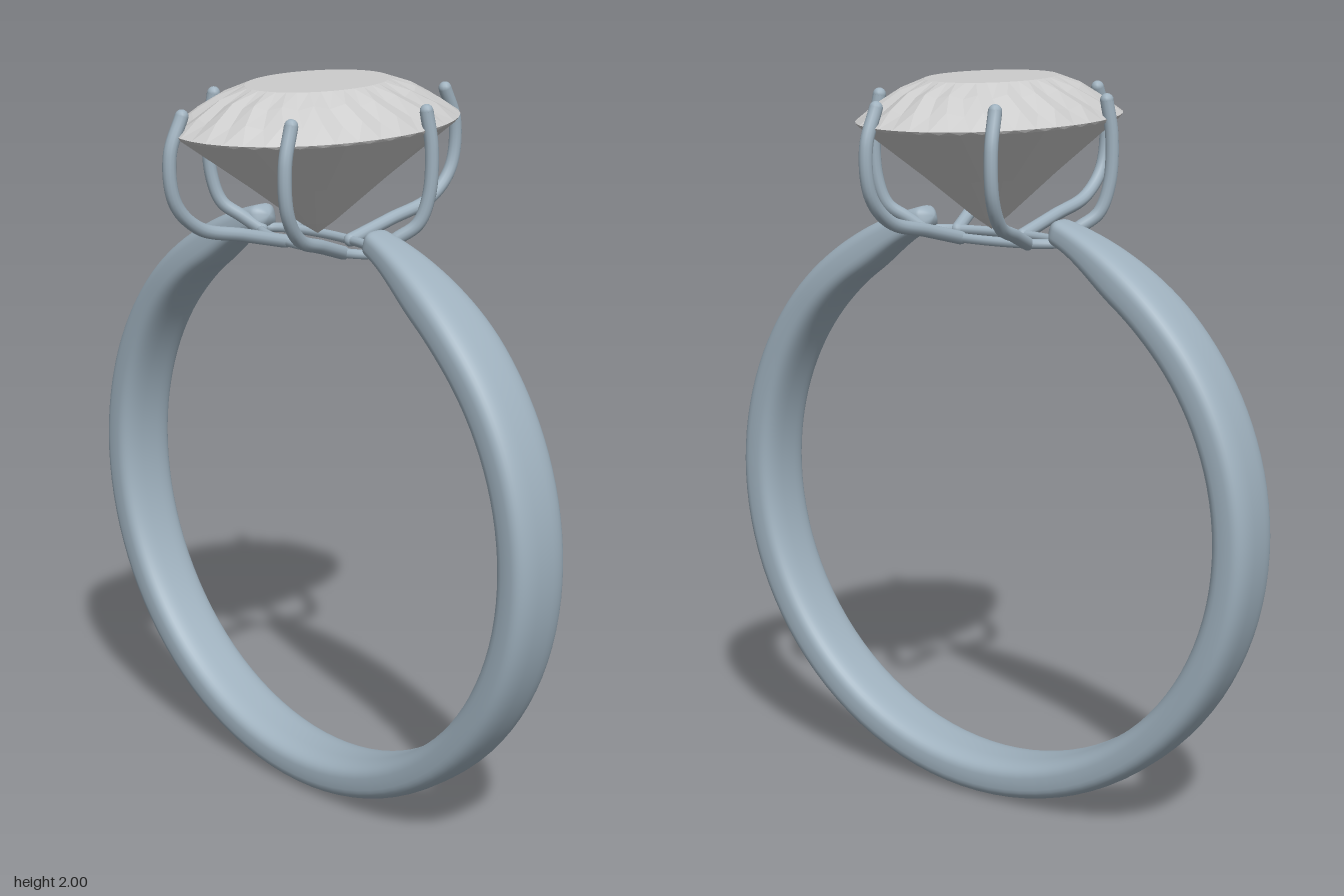
import * as THREE from 'three';

const metal = new THREE.MeshStandardMaterial({ color: 0x9fb1be, side: THREE.DoubleSide });
const gem = new THREE.MeshStandardMaterial({ color: 0xcccccc, flatShading: true });

// Skins a grid of closed rings; flip reverses the corner order.
function skin(rings, flip) {
  const n = rings[0].length, index = [];
  for (let i = 0; i < rings.length - 1; i++) {
    for (let j = 0; j < n; j++) {
      const k = (j + 1) % n;
      const a = i * n + j, b = i * n + k, c = a + n, d = b + n;
      if (flip) index.push(a, c, b, b, c, d);
      else index.push(a, b, c, b, d, c);
    }
  }
  const geo = new THREE.BufferGeometry();
  geo.setAttribute('position', new THREE.Float32BufferAttribute(rings.flat(2), 3));
  geo.setIndex(index);
  geo.computeVertexNormals();
  return geo;
}

// Open band: rounded section, thinner and narrower towards both tips.
function bandGeometry() {
  const R = 0.835, start = 0.24, N = 140, M = 40, rings = [];
  const soft = (v) => Math.sign(v) * Math.pow(Math.abs(v), 0.65);
  for (let i = 0; i <= N; i++) {
    const a = Math.PI - Math.cos(Math.PI * i / N) * (Math.PI - start);
    const s = Math.min(a, 2 * Math.PI - a) - start;
    const cap = Math.sqrt(Math.min(1, Math.max(0, s) / 0.03));
    const wide = Math.sin(Math.PI / 2 * Math.min(1, s / 0.6));
    const w = (0.038 + 0.055 * wide) * cap;
    const inner = 0.725 + 0.042 * (1 - THREE.MathUtils.smoothstep(s, 0, 0.36));
    const mid = (R + inner) / 2, h = (R - inner) / 2 * cap;
    const ring = [];
    for (let j = 0; j < M; j++) {
      const v = j / M * 2 * Math.PI;
      const r = mid + h * soft(Math.cos(v));
      ring.push([r * Math.sin(a), R + r * Math.cos(a), w * soft(Math.sin(v))]);
    }
    rings.push(ring);
  }
  return skin(rings, false);
}

// Oval faceted stone: [scale, height, ripple] rows, each turned half a facet.
function stoneGeometry() {
  const M = 40;
  const rows = [
    [0, 1.595, 0], [0.13, 1.63, 0], [0.5, 1.745, 0], [0.985, 1.888, 0], [1, 1.896, 0],
    [0.85, 1.933, 0.005], [0.68, 1.97, 0.005], [0.5, 2, 0], [0, 2, 0],
  ];
  const rings = rows.map(([s, y, ripple], i) => Array.from({ length: M }, (_, j) => {
    const t = (j + i / 2) / M * 2 * Math.PI;
    return [0.307 * s * Math.cos(t), y + (j % 2 ? ripple : -ripple), 0.435 * s * Math.sin(t)];
  }));
  const geo = skin(rings, true).toNonIndexed();
  geo.computeVertexNormals();
  return geo;
}

export function createModel() {
  const model = new THREE.Group();
  model.name = 'ring';
  const add = (name, geo, mat, parent = model) => {
    const mesh = new THREE.Mesh(geo, mat);
    mesh.name = name;
    parent.add(mesh);
    return mesh;
  };

  add('band', bandGeometry(), metal);
  add('stone', stoneGeometry(), gem);

  // Thin oval rail joining the band tips and the prongs
  const baseY = 1.575;
  const oval = Array.from({ length: 24 }, (_, i) => {
    const t = i / 24 * 2 * Math.PI;
    return new THREE.Vector3(0.21 * Math.cos(t), baseY, 0.07 * Math.sin(t));
  });
  add('baseRail', new THREE.TubeGeometry(new THREE.CatmullRomCurve3(oval, true), 96, 0.013, 10, true), metal);

  // Six prongs sweeping out from the rail and bending in over the girdle
  const profile = [[0, 1.575], [0.4, 1.612], [0.8, 1.65], [1.01, 1.725], [1.05, 1.85], [0.94, 1.945]];
  for (let i = 0; i < 6; i++) {
    const t = (-15 + 60 * i) * Math.PI / 180;
    const points = profile.map(([k, y]) => new THREE.Vector3(
      THREE.MathUtils.lerp(0.21, 0.307, k) * Math.cos(t), y,
      THREE.MathUtils.lerp(0.07, 0.435, k) * Math.sin(t)));
    const prong = new THREE.Group();
    prong.name = 'prong';
    model.add(prong);
    add('prongWire', new THREE.TubeGeometry(new THREE.CatmullRomCurve3(points), 48, 0.018, 12), metal, prong);
    for (const p of [points[0], points[points.length - 1]]) {
      add('prongEnd', new THREE.SphereGeometry(0.018, 12, 8), metal, prong).position.copy(p);
    }
  }
  return model;
}
